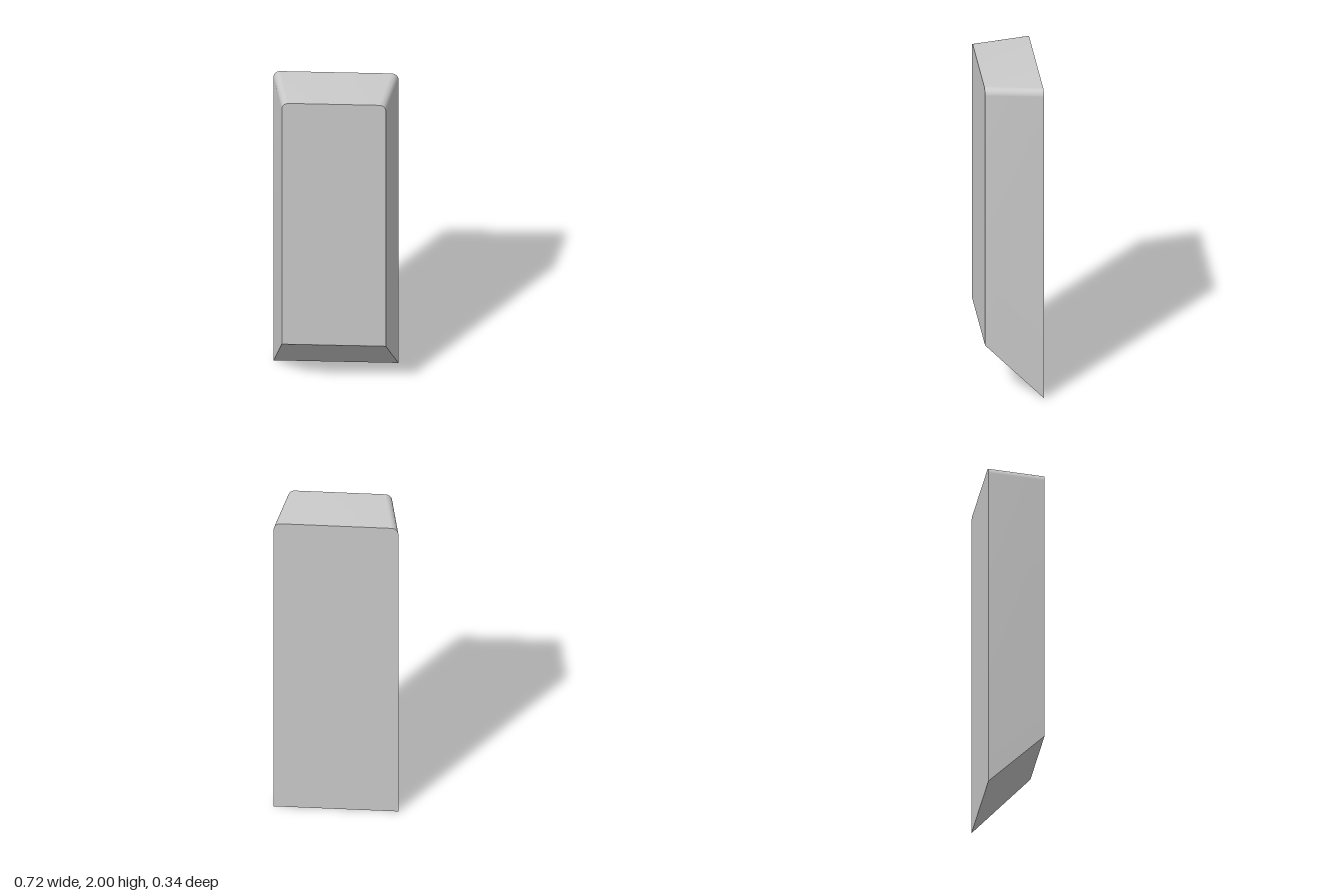
import * as THREE from 'three';
import { toCreasedNormals } from 'three/addons/utils/BufferGeometryUtils.js';

const HEIGHT = 2, BACK = 0.36, FRONT = 0.30, DEPTH = 0.335, BEVEL = 0.335, RADIUS = 0.04;

export function createModel() {
  const group = new THREE.Group();
  group.name = 'wedgeBlock';

  // Back outline: tall slab with rounded top corners
  const outline = new THREE.Shape();
  outline.moveTo(-BACK, 0);
  outline.lineTo(BACK, 0);
  outline.lineTo(BACK, HEIGHT - RADIUS);
  outline.absarc(BACK - RADIUS, HEIGHT - RADIUS, RADIUS, 0, Math.PI / 2);
  outline.absarc(-BACK + RADIUS, HEIGHT - RADIUS, RADIUS, Math.PI / 2, Math.PI);
  outline.closePath();

  const geometry = new THREE.ExtrudeGeometry(outline, {
    depth: DEPTH, bevelEnabled: false, curveSegments: 6,
  });

  // Narrow the slab towards the front and slope its underside upwards
  const p = geometry.attributes.position;
  for (let i = 0; i < p.count; i++) {
    const t = p.getZ(i) / DEPTH;
    p.setX(i, p.getX(i) - Math.sign(p.getX(i)) * (BACK - FRONT) * t);
    if (p.getY(i) < 0.01) p.setY(i, BEVEL * t);
  }
  geometry.translate(0, 0, -DEPTH / 2);

  const body = new THREE.Mesh(
    toCreasedNormals(geometry, 0.5),
    new THREE.MeshStandardMaterial({ color: 0xcccccc }),
  );
  body.name = 'taperedBody';
  group.add(body);
  return group;
}
